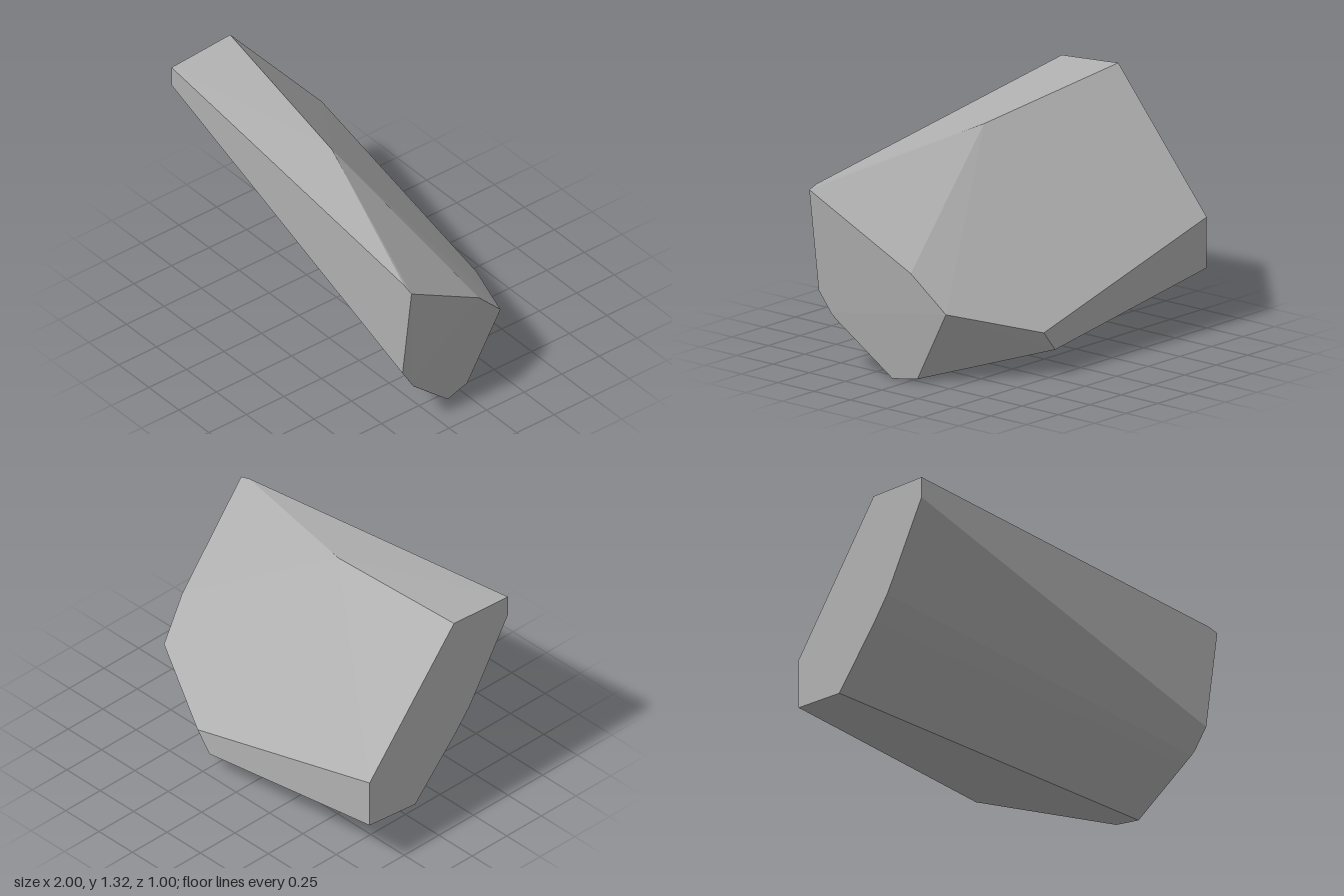
import * as THREE from 'three';
import { ConvexGeometry } from 'three/addons/geometries/ConvexGeometry.js';

export function createModel() {
  const group = new THREE.Group();
  group.name = 'rockShard';
  const stone = new THREE.MeshStandardMaterial({ color: 0xb0b0b0 });
  stone.name = 'stone grey';

  // flat cut end at x = -1, as [z, y]
  const cutEnd = [
    [0.5, 1.29], [0.5, 1.175], [0.265, 0.79], [0.22, 0.72], [0.12, 0.6],
    [-0.17, 0.29], [-0.5, 0.325], [-0.5, 0.6], [0.11, 1.32],
  ].map(([z, y]) => [-1, y, z]);

  // slanted far end, from the front corner down, under and up the back
  const farEnd = [
    [0.94, 1.01, 0.5], [1, 0.99, 0.5], [0.925, 0.43, 0.5], [0.91, 0.32, 0.43],
    [0.9, 0.29, 0.41], [0.88, 0.25, 0.37], [0.8, 0, 0.1], [0.775, 0.02, -0.05],
    [0.79, 0.41, -0.26], [0.85, 0.61, -0.07],
  ];

  // bend of the top ridge and the clipped back corner
  const back = [[-0.04, 1.18, 0.2], [0.29, 0.25, -0.5], [0.2, 0.14, -0.5]];

  const points = [...cutEnd, ...farEnd, ...back].map((p) => new THREE.Vector3(...p));
  const rock = new THREE.Mesh(new ConvexGeometry(points), stone);
  rock.name = 'rock';
  group.add(rock);
  return group;
}
